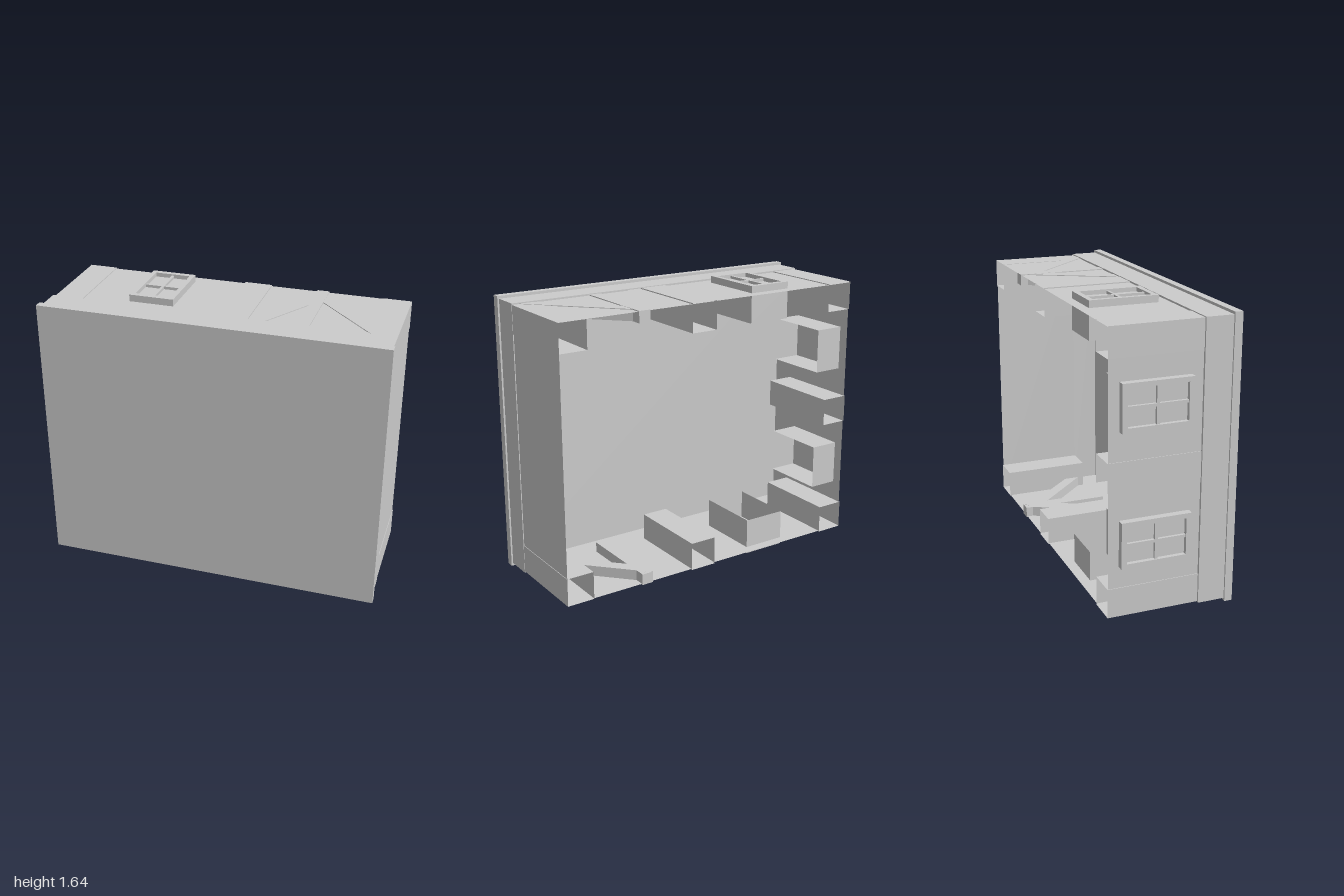
import * as THREE from 'three';

const MID = 0.82; // height of the mirror plane between upper and lower wall
const material = new THREE.MeshStandardMaterial({ color: 0xcccccc, side: THREE.DoubleSide, flatShading: true });

function add(parent, name, geometry) {
  const mesh = new THREE.Mesh(geometry, material);
  mesh.name = name;
  parent.add(mesh);
  return mesh;
}

// Solid box between two corners
function block(parent, name, [x0, x1], [y0, y1], [z0, z1]) {
  const g = new THREE.BoxGeometry(x1 - x0, y1 - y0, z1 - z0);
  g.translate((x0 + x1) / 2, (y0 + y1) / 2, (z0 + z1) / 2);
  return add(parent, name, g);
}

// Four-sided box open at both ends along the given axis
function duct(parent, name, [x0, x1], [y0, y1], [z0, z1], axis = 'z') {
  const g = new THREE.CylinderGeometry(Math.SQRT1_2, Math.SQRT1_2, 1, 4, 1, true).rotateY(Math.PI / 4).toNonIndexed();
  if (axis === 'z') g.rotateX(Math.PI / 2);
  g.scale(x1 - x0, y1 - y0, z1 - z0);
  g.translate((x0 + x1) / 2, (y0 + y1) / 2, (z0 + z1) / 2);
  g.computeVertexNormals();
  return add(parent, name, g);
}

// Rectangle with a rectangular hole
function rectRing([x0, x1], [y0, y1], [a0, a1], [b0, b1]) {
  const shape = new THREE.Shape([[x0, y0], [x1, y0], [x1, y1], [x0, y1]].map(p => new THREE.Vector2(...p)));
  shape.holes.push(new THREE.Path([[a0, b0], [a0, b1], [a1, b1], [a1, b0]].map(p => new THREE.Vector2(...p))));
  return shape;
}

// Window facing +y, outer surface at y = 0, with an open shaft behind it
function makeWindow() {
  const w = new THREE.Group();
  w.name = 'window';
  const frame = new THREE.ExtrudeGeometry(
    rectRing([-0.13, 0.13], [-0.197, 0.197], [-0.103, 0.103], [-0.167, 0.167]),
    { depth: 0.03, bevelEnabled: false });
  add(w, 'windowFrame', frame.rotateX(-Math.PI / 2).translate(0, -0.03, 0));
  block(w, 'windowPane', [-0.103, 0.103], [-0.032, -0.024], [-0.167, 0.167]);
  block(w, 'windowBarLong', [-0.008, 0.008], [-0.025, -0.008], [-0.167, 0.167]);
  block(w, 'windowBarShort', [-0.103, 0.103], [-0.025, -0.008], [-0.008, 0.008]);
  duct(w, 'windowShaft', [-0.13, 0.13], [-0.215, -0.03], [-0.197, 0.197], 'y');
  return w;
}

// Beam lying in the upper wall, its outline given as [x, z] corners
function beam(parent, name, corners, top) {
  const shape = new THREE.Shape(corners.map(([x, z]) => new THREE.Vector2(x, -z)));
  const g = new THREE.ExtrudeGeometry(shape, { depth: 0.065, bevelEnabled: false });
  return add(parent, name, g.rotateX(-Math.PI / 2).translate(0, top - 0.065, 0));
}

export function createModel() {
  const model = new THREE.Group();
  model.name = 'timberFramedStorey';

  // Closed front slab, the band behind it and the ledge down to the walls
  block(model, 'frontSlab', [-0.985, 0.995], [MID - 0.805, MID + 0.805], [0.315, 0.36]);
  duct(model, 'band', [-0.975, 0.985], [MID - 0.79, MID + 0.79], [0.16, 0.315]);
  const ledge = new THREE.ShapeGeometry(
    rectRing([-0.975, 0.985], [MID - 0.79, MID + 0.79], [-0.96, 0.98], [MID - 0.78, MID + 0.78]));
  add(model, 'bandLedge', ledge.translate(0, 0, 0.16));

  // Thin walls, open at the back
  duct(model, 'walls', [-0.96, 0.98], [MID - 0.78, MID + 0.78], [-0.357, 0.16]);

  // Post in the middle of the windowed side wall
  duct(model, 'sidePost', [-0.964, -0.8], [MID - 0.08, MID + 0.08], [-0.36, 0.16]);

  // Upper and lower walls mirror each other
  for (const s of [1, -1]) {
    const span = (a, b) => (s > 0 ? [MID + a, MID + b] : [MID - b, MID - a]);
    duct(model, 'cornerPost', [-0.964, -0.8], span(0.62, 0.785), [-0.36, 0.16]);
    duct(model, 'cornerPost', [0.82, 0.983], span(0.62, 0.782), [-0.36, 0.16]);
    duct(model, 'middlePost', [0.01, 0.17], span(0.62, 0.786), [-0.36, 0.16]);

    // Upright strut with two diagonal braces meeting at the open edge
    const braces = new THREE.Group();
    braces.name = 'braces';
    beam(braces, 'strut', [[0.44, 0.16], [0.51, 0.16], [0.51, -0.363], [0.44, -0.363]], 0.785);
    beam(braces, 'longBrace', [[0.44, -0.36], [0.51, -0.30], [0.94, 0.16], [0.855, 0.16], [0.44, -0.27]]
      .map(([x, z]) => [x, z]), 0.784);
    beam(braces, 'shortBrace', [[0.51, -0.36], [0.44, -0.32], [0.18, 0.16], [0.26, 0.16], [0.51, -0.25]], 0.784);
    braces.position.y = MID;
    if (s < 0) braces.scale.y = -1;
    model.add(braces);

    const wallWindow = makeWindow();
    wallWindow.position.set(-0.407, MID + s * 0.82, -0.1);
    if (s < 0) wallWindow.rotation.z = Math.PI;
    model.add(wallWindow);

    const sideWindow = makeWindow();
    sideWindow.position.set(-1, MID + s * 0.37, -0.1);
    sideWindow.rotation.z = Math.PI / 2;
    model.add(sideWindow);
  }

  return model;
}
